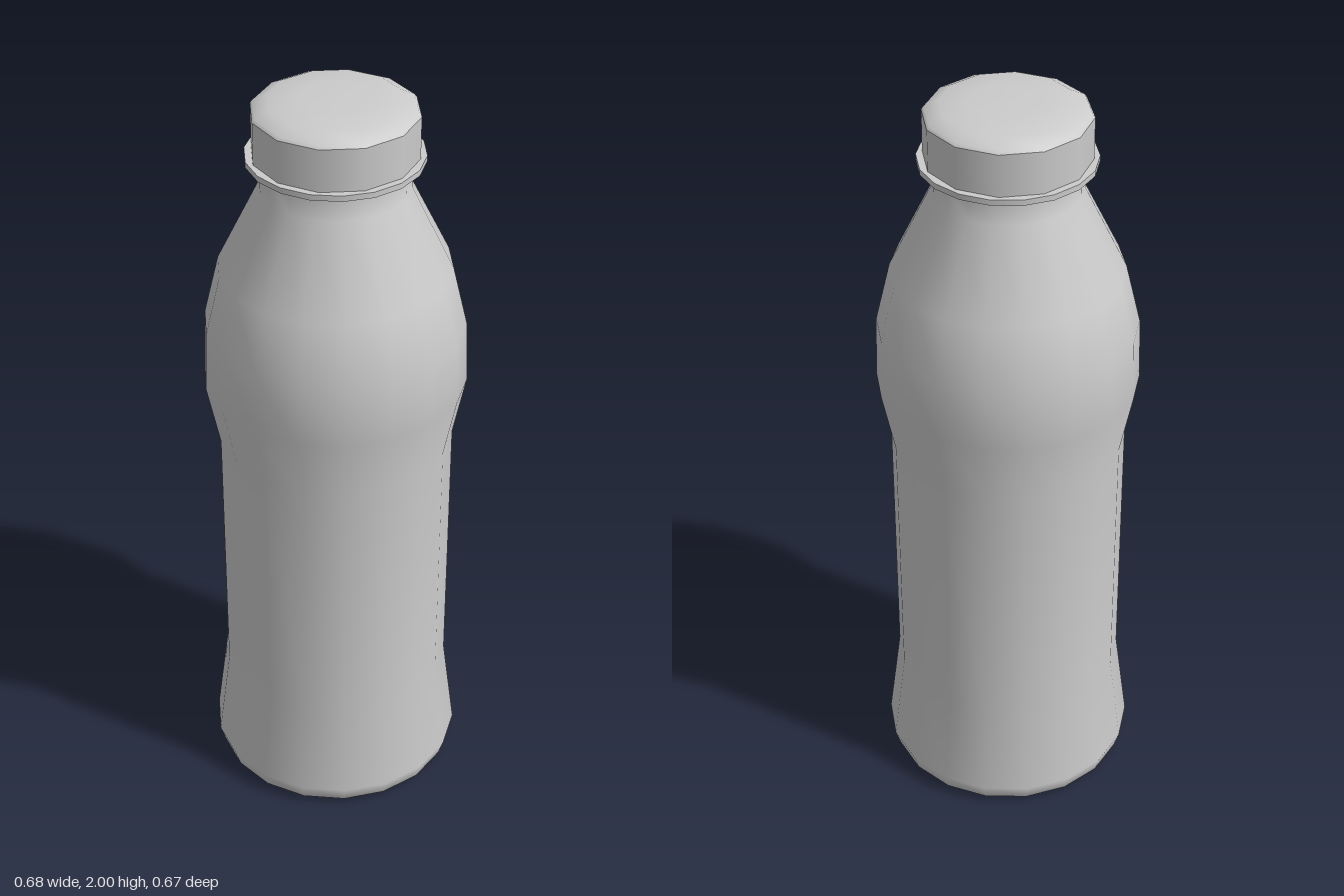
import * as THREE from 'three';

export function createModel() {
  const group = new THREE.Group();
  const material = new THREE.MeshStandardMaterial({ color: 0xcccccc });

  // Turned part: profile of [radius, height], running bottom to top on the outside
  const turn = (name, profile, sides, start) => {
    const points = profile.map(([r, y]) => new THREE.Vector2(r, y));
    const mesh = new THREE.Mesh(new THREE.LatheGeometry(points, sides, start), material);
    mesh.name = name;
    group.add(mesh);
  };

  const bodyStart = Math.PI / 2; // corners on the x axis
  const capStart = Math.PI / 12; // flats on the x and z axes

  // Bottle: flared foot, straight grip, bulging shoulder and neck
  turn('base', [[0, 0], [0.308, 0]], 18, bodyStart);
  turn('body', [
    [0.308, 0], [0.325, 0.017], [0.338, 0.06], [0.305, 0.32], [0.305, 1.06],
    [0.338, 1.225], [0.332, 1.39], [0.294, 1.55], [0.187, 1.77], [0.187, 1.85],
  ], 18, bodyStart);

  // Tamper ring under the cap
  turn('ringUnderside', [[0, 1.843], [0.221, 1.843]], 18, bodyStart);
  turn('ringEdge', [[0.221, 1.843], [0.221, 1.858]], 18, bodyStart);
  turn('ringTop', [[0.221, 1.858], [0, 1.858]], 18, bodyStart);

  // Screw cap with a slightly domed top
  turn('capSide', [[0.207, 1.858], [0.207, 1.968]], 12, capStart);
  turn('capTop', [[0.207, 1.968], [0.201, 1.976], [0.165, 1.994], [0.09, 1.999], [0, 2]], 12, capStart);

  return group;
}
